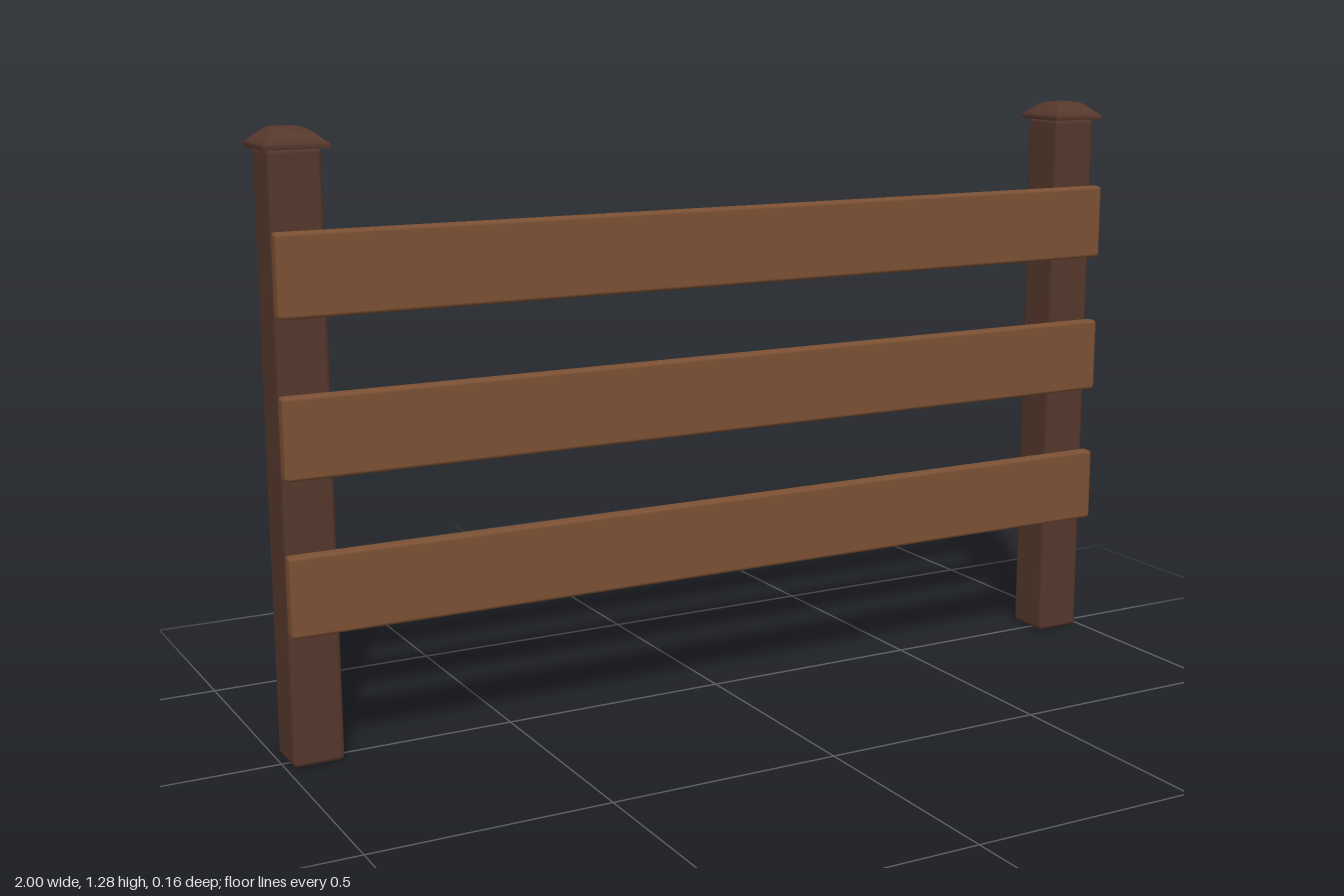
import * as THREE from 'three';
import { RoundedBoxGeometry } from 'three/addons/geometries/RoundedBoxGeometry.js';
import { toCreasedNormals } from 'three/addons/utils/BufferGeometryUtils.js';

const postWood = new THREE.MeshStandardMaterial({ color: 0x56382c });
const railWood = new THREE.MeshStandardMaterial({ color: 0x7c5134 });

// Box with small chamfered edges
function plank(name, w, h, d, bevel, material) {
  const mesh = new THREE.Mesh(new RoundedBoxGeometry(w, h, d, 1, bevel), material);
  mesh.name = name;
  return mesh;
}

// Square domed cap: four-sided lathe of [half width, height]
function postCap() {
  const profile = [
    [0, 0], [0.064, 0], [0.067, 0.004], [0.066, 0.009], [0.052, 0.021],
    [0.037, 0.034], [0.029, 0.039], [0.017, 0.041], [0, 0.042],
  ].map(([half, y]) => new THREE.Vector2(half * Math.SQRT2, y));
  const geometry = new THREE.LatheGeometry(profile, 4, Math.PI / 4);
  const mesh = new THREE.Mesh(toCreasedNormals(geometry, 0.9), postWood);
  mesh.name = 'postCap';
  return mesh;
}

export function createModel() {
  const fence = new THREE.Group();
  fence.name = 'fence';

  // Posts with caps
  for (const side of [-1, 1]) {
    const post = new THREE.Group();
    post.name = side > 0 ? 'leftPost' : 'rightPost';
    post.position.set(side * 0.933, 0, -0.01);
    const shaft = plank('postShaft', 0.108, 1.238, 0.108, 0.011, postWood);
    shaft.position.y = 0.619;
    const cap = postCap();
    cap.position.y = 1.235;
    post.add(shaft, cap);
    fence.add(post);
  }

  // Horizontal rails across the front of the posts
  ['lowerRail', 'middleRail', 'upperRail'].forEach((name, i) => {
    const rail = plank(name, 1.98, 0.167, 0.032, 0.008, railWood);
    rail.position.set(0, 0.364 + i * 0.317, 0.063);
    fence.add(rail);
  });

  return fence;
}
